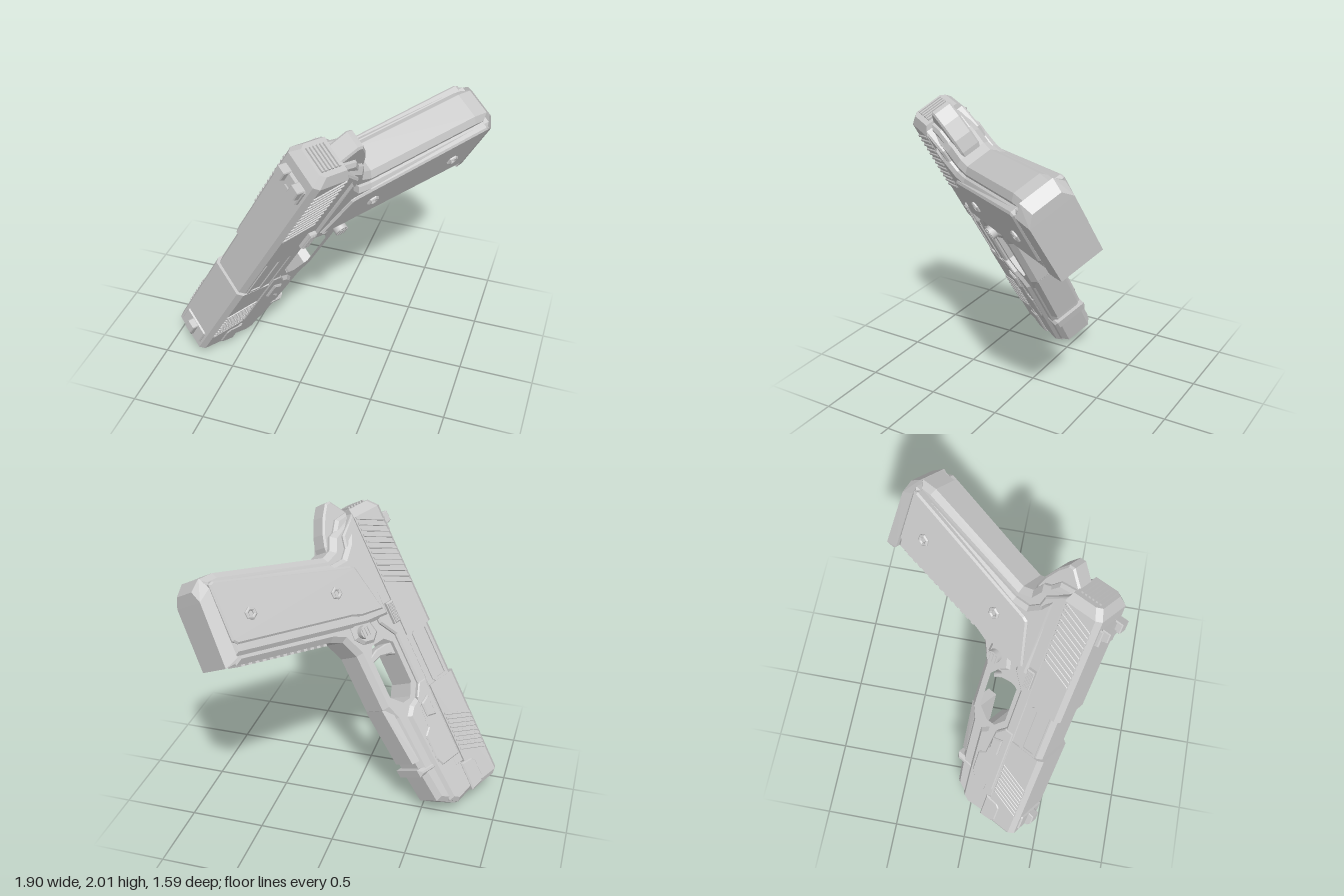
import * as THREE from 'three';
import { ConvexGeometry } from 'three/addons/geometries/ConvexGeometry.js';

// Local frame: x = toward the muzzle, y = toward the slide top, z = across.
const steel = new THREE.MeshStandardMaterial({ color: 0xc8c8c8 });
steel.name = 'grey steel';

export function createModel() {
  const gun = new THREE.Group();
  gun.name = 'pistol';

  const add = (name, geometry) => {
    const mesh = new THREE.Mesh(geometry, steel);
    mesh.name = name;
    gun.add(mesh);
    return mesh;
  };
  const V = (list) => list.map(([x, y]) => new THREE.Vector2(x, y));

  // Side profile extruded symmetrically across the centre plane.
  const slab = (name, pts, half, bevel = 0, hole = null) => {
    const shape = new THREE.Shape(V(pts));
    if (hole) shape.holes.push(new THREE.Path(V(hole)));
    const geometry = new THREE.ExtrudeGeometry(shape, {
      depth: 2 * (half - bevel), bevelEnabled: bevel > 0, bevelThickness: bevel,
      bevelSize: bevel, bevelOffset: -bevel, bevelSegments: 1, curveSegments: 6,
    });
    geometry.translate(0, 0, bevel - half);
    return add(name, geometry);
  };

  // Convex solid from mirrored points [x, y, halfWidth].
  const hull = (name, pts) => add(name, new ConvexGeometry(pts.flatMap(([x, y, w]) =>
    [new THREE.Vector3(x, y, w), new THREE.Vector3(x, y, -w)])));

  // Slide cross-section with chamfered top edges.
  const section = (x, side, top, low = 0.535) => [
    [x, low, side], [x, top - 0.035, side], [x, top, side - 0.027]];

  // Slide
  hull('slideFront', [...section(-0.54, 0.155, 0.785), ...section(0.235, 0.155, 0.785),
    ...section(0.265, 0.135, 0.765, 0.55)]);
  hull('slideMiddle', [...section(-0.93, 0.145, 0.765), ...section(-0.53, 0.145, 0.765)]);
  hull('slideRear', [...section(-1.77, 0.155, 0.785), ...section(-0.92, 0.155, 0.785),
    ...section(-1.83, 0.12, 0.745, 0.55)]);
  slab('ejectionPortRim', [[-0.92, 0.60], [-0.90, 0.58], [-0.56, 0.58], [-0.54, 0.60],
    [-0.54, 0.72], [-0.92, 0.72]], 0.153, 0, [[-0.90, 0.62], [-0.56, 0.62], [-0.56, 0.70], [-0.90, 0.70]]);
  const grooves = (name, x0, x1, count) => {
    for (let i = 0; i < count; i++) {
      const x = x0 + (x1 - x0) * i / (count - 1);
      slab(name, [[x, 0.752], [x - 0.09, 0.545], [x - 0.072, 0.545], [x + 0.018, 0.752]], 0.164, 0.004);
    }
  };
  grooves('rearSerration', -1.68, -1.23, 12);
  grooves('frontSerration', -0.23, 0.04, 9);
  for (let i = 0; i < 6; i++) {
    add('rearPlateRib', new THREE.BoxGeometry(0.03, 0.014, 0.17)).position.set(-1.828, 0.585 + i * 0.026, 0);
  }

  // Sights
  slab('frontSightBase', [[0.06, 0.77], [0.20, 0.77], [0.19, 0.797], [0.07, 0.797]], 0.11, 0.008);
  slab('frontSight', [[0.07, 0.77], [0.20, 0.77], [0.19, 0.815], [0.15, 0.838], [0.08, 0.838]], 0.035, 0.006);
  slab('rearSightBase', [[-1.70, 0.77], [-1.56, 0.77], [-1.58, 0.81], [-1.70, 0.81]], 0.11, 0.008);
  for (const s of [-1, 1]) {
    slab('rearSightPost', [[-1.71, 0.79], [-1.62, 0.79], [-1.64, 0.85], [-1.71, 0.85]], 0.035, 0.006).position.z = s * 0.07;
  }
  const sightScrew = add('sightScrew', new THREE.CylinderGeometry(0.03, 0.03, 0.03, 6));
  sightScrew.position.set(-1.60, 0.805, 0);

  // Barrel tip and recoil rod
  const tube = (name, x, y, r) => {
    const profile = V([[r * 0.6, -0.12], [r, -0.12], [r, 0.04], [r * 0.88, 0.06], [r * 0.6, 0.06], [r * 0.6, -0.12]]);
    const ring = add(name, new THREE.LatheGeometry(profile, 16));
    ring.geometry = ring.geometry.toNonIndexed();
    ring.geometry.computeVertexNormals();
    ring.rotation.z = -Math.PI / 2;
    ring.position.set(x, y, 0);
  };
  tube('barrel', 0.235, 0.665, 0.065);
  tube('recoilRod', 0.235, 0.47, 0.045);

  // Frame core with the trigger opening
  slab('frame', [[0.26, 0.56], [0.28, 0.36], [0.185, 0.228], [-0.02, 0.205], [-0.46, 0.18], [-0.56, 0.14],
    [-0.96, 0.135], [-1.09, 0.08], [-1.13, 0.0], [-1.31, -0.68], [-1.87, -0.66], [-1.865, -0.55],
    [-1.63, 0.22], [-1.65, 0.29], [-1.73, 0.34], [-1.80, 0.54]], 0.125, 0.035,
  [[-0.94, 0.46], [-0.62, 0.46], [-0.50, 0.38], [-0.50, 0.28], [-0.60, 0.18],
    [-0.92, 0.18], [-1.01, 0.24], [-1.01, 0.38]]);
  slab('frameRail', [[-1.80, 0.54], [0.05, 0.54], [0.05, 0.45], [-0.56, 0.46], [-0.96, 0.46],
    [-1.08, 0.38], [-1.55, 0.36], [-1.70, 0.40]], 0.15, 0.012);
  slab('dustCover', [[-0.58, 0.54], [0.25, 0.54], [0.275, 0.37], [0.23, 0.31], [-0.05, 0.29],
    [-0.44, 0.27], [-0.50, 0.33], [-0.54, 0.44]], 0.148, 0.03);
  slab('dustCoverPanel', [[-0.60, 0.525], [-0.02, 0.525], [-0.02, 0.36], [-0.08, 0.33], [-0.26, 0.33],
    [-0.30, 0.38], [-0.52, 0.40], [-0.60, 0.46]], 0.157, 0.008);
  slab('frontLug', [[0.05, 0.50], [0.06, 0.60], [0.09, 0.625], [0.22, 0.625], [0.25, 0.60], [0.26, 0.50]], 0.162, 0.01);
  slab('takedownLever', [[-0.50, 0.475], [-0.35, 0.475], [-0.37, 0.40], [-0.47, 0.40]], 0.172, 0.01);
  slab('railStop', [[-0.085, 0.17], [-0.03, 0.175], [-0.02, 0.32], [-0.075, 0.32]], 0.132, 0.02);
  hull('guardFrontPad', [[-0.56, 0.135, 0.09], [-0.13, 0.175, 0.09], [-0.53, 0.19, 0.115], [-0.13, 0.22, 0.115]]);

  // Trigger
  slab('trigger', [[-0.90, 0.50], [-0.80, 0.50], [-0.845, 0.42], [-0.865, 0.34], [-0.85, 0.26],
    [-0.81, 0.205], [-0.84, 0.195], [-0.89, 0.25], [-0.92, 0.33], [-0.92, 0.42]], 0.048, 0.008);

  // Beavertail
  slab('beavertail', [[-1.58, 0.28], [-1.68, 0.29], [-1.76, 0.32], [-1.86, 0.38], [-1.93, 0.44],
    [-1.93, 0.48], [-1.80, 0.58], [-1.58, 0.58]], 0.068, 0.012);
  slab('beavertailShoulder', [[-1.50, 0.20], [-1.61, 0.22], [-1.64, 0.31], [-1.72, 0.36], [-1.81, 0.44],
    [-1.82, 0.54], [-1.50, 0.54]], 0.105, 0.02);

  // Grip body, side panels and screws
  slab('gripBody', [[-1.10, 0.47], [-1.12, 0.28], [-1.17, 0.08], [-1.37, -0.69], [-1.84, -0.66],
    [-1.57, 0.22], [-1.57, 0.32], [-1.64, 0.40], [-1.72, 0.47]], 0.167, 0.025);
  slab('gripPanel', [[-1.16, 0.43], [-1.19, 0.25], [-1.22, 0.18], [-1.43, -0.65], [-1.46, -0.675],
    [-1.82, -0.65], [-1.83, -0.62], [-1.51, 0.33], [-1.49, 0.36]], 0.183, 0.012);
  const hexagon = (x, y, r) => Array.from({ length: 6 }, (_, i) =>
    [x + r * Math.cos(i * Math.PI / 3), y + r * Math.sin(i * Math.PI / 3)]);
  for (const [x, y] of [[-1.403, 0.136], [-1.556, -0.486]]) {
    slab('gripScrew', hexagon(x, y, 0.042), 0.2, 0.008, hexagon(x, y, 0.017));
  }
  for (let i = 0; i < 13; i++) {
    const t = i / 12;
    const rib = add('frontStrapRib', new THREE.BoxGeometry(0.04, 0.026, 0.17));
    rib.position.set(-1.145 - 0.16 * t, -0.04 - 0.59 * t, 0);
    rib.rotation.z = -0.267;
  }

  // Magazine base
  hull('magazineBase', [[-1.36, -0.69, 0.17], [-1.335, -0.72, 0.16], [-1.335, -0.782, 0.15],
    [-1.75, -0.742, 0.155], [-1.82, -0.735, 0.1], [-1.80, -0.655, 0.172], [-1.875, -0.66, 0.115]]);

  // Controls on both sides
  slab('slideStop', [[-1.18, 0.525], [-1.03, 0.525], [-1.03, 0.47], [-1.18, 0.47]], 0.18, 0.008);
  for (let i = 0; i < 5; i++) {
    slab('slideStopRib', [[-1.17, 0.475 + i * 0.01], [-1.04, 0.475 + i * 0.01],
      [-1.04, 0.480 + i * 0.01], [-1.17, 0.480 + i * 0.01]], 0.184);
  }
  slab('buttonGuard', [[-1.17, 0.31], [-1.04, 0.34], [-0.99, 0.28], [-1.01, 0.20], [-1.07, 0.15], [-1.17, 0.16]], 0.15, 0.02);
  const button = add('magazineRelease', new THREE.CylinderGeometry(0.045, 0.045, 0.38, 12));
  button.rotation.x = Math.PI / 2;
  button.position.set(-1.09, 0.22, 0);
  for (let i = -1; i <= 1; i++) {
    add('magazineReleaseRib', new THREE.BoxGeometry(0.06, 0.012, 0.392)).position.set(-1.09, 0.22 + i * 0.024, 0);
  }

  // Tilted resting pose
  const forward = new THREE.Vector3(-0.478, -0.865, -0.152).normalize();
  const left = new THREE.Vector3(0.731, -0.488, 0.477).normalize();
  const up = new THREE.Vector3().crossVectors(forward, left).normalize();
  const right = new THREE.Vector3().crossVectors(forward, up);
  gun.quaternion.setFromRotationMatrix(new THREE.Matrix4().makeBasis(forward, up, right));
  gun.position.copy(left).multiplyScalar(-0.49);
  const model = new THREE.Group();
  model.name = 'model';
  model.add(gun);
  return model;
}
